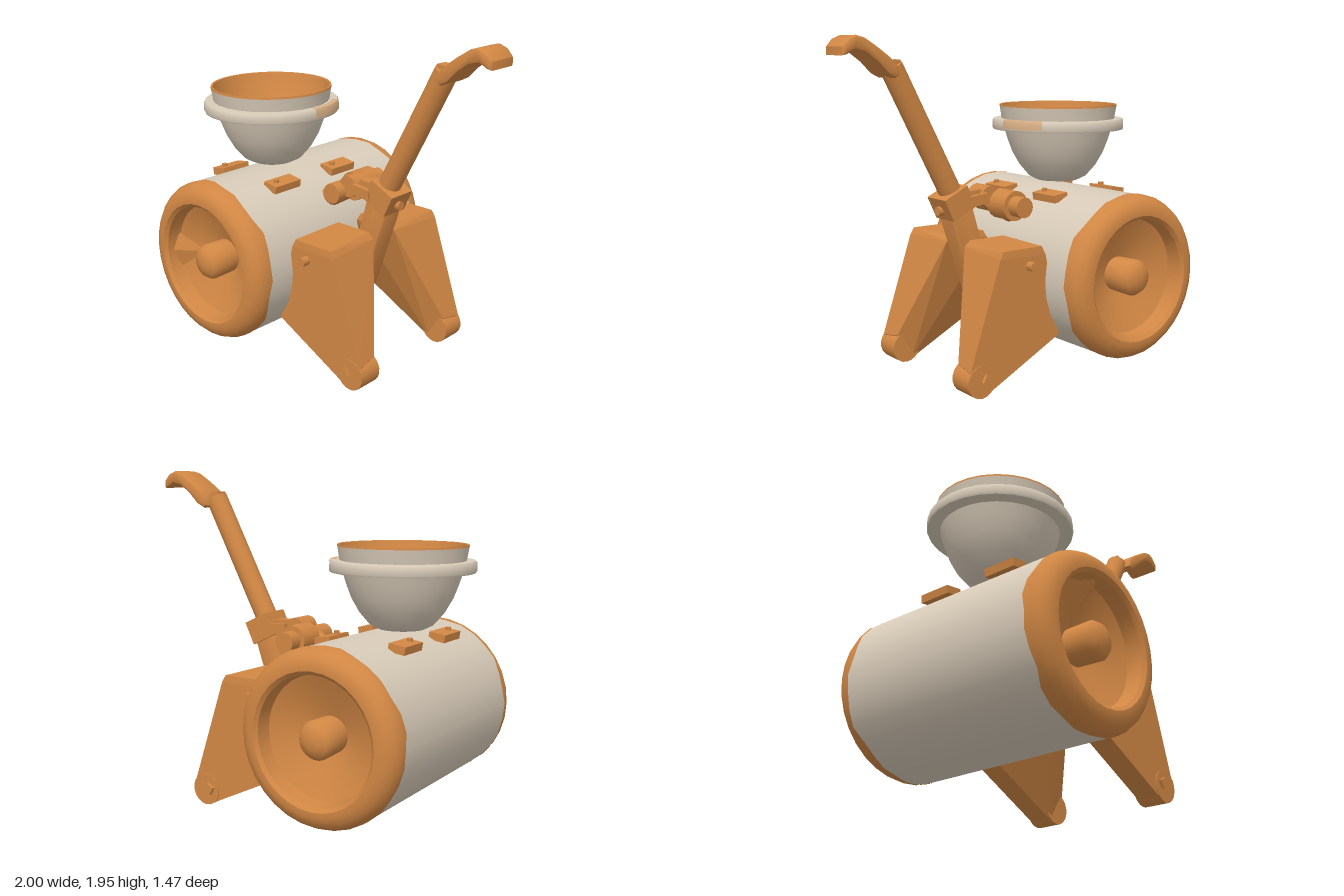
import * as THREE from 'three';
import { toCreasedNormals } from 'three/addons/utils/BufferGeometryUtils.js';
import { ConvexGeometry } from 'three/addons/geometries/ConvexGeometry.js';

const mat = (name, color) => new THREE.MeshStandardMaterial({ name, color });
const V = (x, y, z) => new THREE.Vector3(x, y, z);

export function createModel() {
  const root = new THREE.Group();
  root.name = 'drumMachine';
  const orange = mat('rustOrange', 0xd18744);
  const cream = mat('creamPaint', 0xd8cbb8);
  const worn = mat('wornPaint', 0xd6ae84);

  const add = (name, geo, material, x = 0, y = 0, z = 0, parent = root) => {
    const m = new THREE.Mesh(geo, material);
    m.name = name;
    m.position.set(x, y, z);
    parent.add(m);
    return m;
  };
  const lathe = (pts, seg, crease = 0.7, start = 0, len = Math.PI * 2) =>
    toCreasedNormals(new THREE.LatheGeometry(pts.map(p => new THREE.Vector2(...p)), seg, start, len), crease);
  const rod = (name, a, b, r, seg = 14) => {
    const d = b.clone().sub(a);
    const m = add(name, new THREE.CylinderGeometry(r, r, d.length(), seg), orange);
    m.position.copy(a).add(b).multiplyScalar(0.5);
    m.quaternion.setFromUnitVectors(V(0, 1, 0), d.normalize());
    return m;
  };
  const box = (name, w, h, d, x, y, z, tilt = 0) => {
    const m = add(name, new THREE.BoxGeometry(w, h, d), orange, x, y, z);
    m.rotation.z = tilt;
    return m;
  };
  // Side outline extruded along z, centred on z = 0
  const slab = (pts, depth, bevel) => {
    const g = new THREE.ExtrudeGeometry(new THREE.Shape(pts.map(p => new THREE.Vector2(...p))), {
      depth: depth - 2 * bevel, bevelEnabled: bevel > 0, bevelSize: bevel, bevelThickness: bevel,
      bevelOffset: -bevel, bevelSegments: 2, steps: 1,
    });
    g.translate(0, 0, bevel - depth / 2);
    return toCreasedNormals(g, 0.7);
  };

  // Drum body, axis along z
  const drum = new THREE.Group();
  drum.name = 'drum';
  drum.position.set(-0.52, 0.59, 0);
  root.add(drum);
  const body = add('drumBody', new THREE.CylinderGeometry(0.476, 0.476, 1.31, 32, 1, true), cream, 0, 0, 0, drum);
  body.rotation.x = Math.PI / 2;

  // Rounded end caps with dished recess, hub and uneven paint edge
  const capProfile = [[0.479, 0.62], [0.478, 0.655], [0.462, 0.69], [0.435, 0.718], [0.395, 0.733],
    [0.365, 0.733], [0.345, 0.715], [0.335, 0.63], [0.22, 0.58], [0.1, 0.54], [0.105, 0.68],
    [0.085, 0.71], [0.04, 0.728], [0, 0.73]];
  for (const side of [1, -1]) {
    const g = new THREE.LatheGeometry(capProfile.map(p => new THREE.Vector2(...p)), 32);
    const p = g.attributes.position;
    for (let i = 0; i < p.count; i += capProfile.length) {
      const a = Math.round(i / capProfile.length) % 32 / 32 * Math.PI * 2;
      p.setY(i, 0.617 + 0.012 * Math.sin(a * 5 + side) + 0.01 * Math.sin(a * 11));
    }
    const cap = add('drumEndCap', toCreasedNormals(g, 0.7), orange, 0, 0, 0, drum);
    cap.rotation.x = side * Math.PI / 2;
  }

  // Wedge fins inside the front recess
  for (const [a, w, inner] of [[Math.PI / 2, 0.17, 0.2], [Math.PI * 1.02, 0.33, 0.16]]) {
    const at = (r, t, z) => V(r * Math.cos(t), r * Math.sin(t), z);
    add('recessFin', new ConvexGeometry([
      at(0.34, a - w, 0.64), at(0.34, a + w, 0.64), at(0.34, a, 0.68), at(inner, a, 0.57), at(0.33, a, 0.6),
    ]), orange, 0, 0, 0, drum);
  }

  // Four bolted tabs on top of the drum
  for (const s of [1, -1]) for (const z of [0.28, -0.19]) {
    const x = -0.53 + s * 0.23;
    box('drumTab', 0.1, 0.045, 0.2, x, 1.025, z, -s * 0.15);
    add('tabBolt', new THREE.CylinderGeometry(0.016, 0.016, 0.03, 8), orange, x, 1.05, z + 0.05);
  }

  // Hopper: shell with flange, lined funnel
  const hopper = new THREE.Group();
  hopper.name = 'hopper';
  hopper.position.set(-0.59, 0, 0.08);
  root.add(hopper);
  add('hopperShell', lathe([[0, 1.06], [0.13, 1.075], [0.18, 1.1], [0.24, 1.17], [0.285, 1.25], [0.315, 1.33],
    [0.335, 1.395], [0.405, 1.395], [0.41, 1.405], [0.408, 1.45], [0.4, 1.46], [0.352, 1.46], [0.365, 1.538]], 28),
  cream, 0, 0, 0, hopper);
  add('hopperLining', lathe([[0.366, 1.536], [0.364, 1.547], [0.352, 1.545], [0.31, 1.4], [0.22, 1.25],
    [0.11, 1.14], [0, 1.11]], 28, 1), orange, 0, 0, 0, hopper);
  add('flangeWear', lathe([[0.412, 1.41], [0.411, 1.45], [0.403, 1.463], [0.37, 1.463]], 6, 0.7, 1.5, 0.7),
    worn, 0, 0, 0, hopper);

  // Legs, feet and bolts, mirrored front to back
  for (const s of [1, -1]) {
    const pts = [
      [-0.045, 0.75, 0.455], [-0.02, 0.8, 0.45], [0.25, 0.8, 0.45], [0.272, 0.76, 0.455],
      [0.475, 0.16, 0.455], [0.36, 0.02, 0.455], [-0.15, 0.27, 0.455],
      [-0.045, 0.76, 0.09], [-0.02, 0.805, 0.1], [0.22, 0.805, 0.1], [0.25, 0.77, 0.09],
      [0.46, 0.18, 0.32], [0.36, 0.02, 0.32], [-0.15, 0.27, 0.32],
    ].map(([x, y, z]) => V(x, y, z * s));
    add('leg', new ConvexGeometry(pts), orange);
    rod('foot', V(0.4, 0.1, 0.31 * s), V(0.4, 0.1, 0.46 * s), 0.093, 18);
    box('footBolt', 0.05, 0.05, 0.04, 0.37, 0.11, 0.46 * s, 0.5);
  }
  rod('legAxle', V(0.07, 0.7, -0.5), V(0.07, 0.7, 0.5), 0.027, 10);

  // Lever bar between the legs
  add('leverBar', slab([[0.01, 0.44], [0.14, 0.41], [0.335, 0.98], [0.3, 1.08], [0.2, 1.07]], 0.14, 0.012), orange);

  // Clamp collar and its bolts
  box('clampCollar', 0.17, 0.14, 0.18, 0.275, 1.02, 0, -0.45);
  rod('clampBolt', V(0.3, 0.975, 0), V(0.375, 0.975, 0), 0.028, 8);

  // Linkage from drum to clamp
  rod('linkArm', V(-0.27, 0.85, 0), V(0.04, 1.035, 0), 0.062);
  rod('linkKnuckle', V(0.04, 1.035, -0.06), V(0.04, 1.035, 0.08), 0.065);
  rod('pivotSleeve', V(-0.035, 0.99, -0.2), V(-0.035, 0.99, -0.04), 0.088, 16);
  rod('pivotPin', V(-0.035, 0.99, -0.28), V(-0.035, 0.99, 0.14), 0.06, 16);
  box('linkPlate', 0.2, 0.065, 0.07, 0.14, 1.045, 0, -0.05);
  for (const z of [-0.085, 0.085]) box('clampLug', 0.13, 0.06, 0.03, 0.15, 1.03, z, -0.1);

  // Handle pole, top stop and curved grip
  rod('handlePole', V(0.25, 1.01, 0), V(0.665, 1.79, 0), 0.065, 18);
  box('poleStop', 0.06, 0.07, 0.07, 0.652, 1.79, 0, -0.1);
  add('handGrip', slab([[0.665, 1.745], [0.69, 1.73], [0.74, 1.755], [0.8, 1.815], [0.87, 1.865], [0.93, 1.88],
    [0.975, 1.855], [1, 1.85], [1, 1.895], [0.965, 1.935], [0.92, 1.953], [0.87, 1.94], [0.79, 1.89],
    [0.72, 1.84], [0.68, 1.8]], 0.21, 0.018), orange);
  return root;
}
